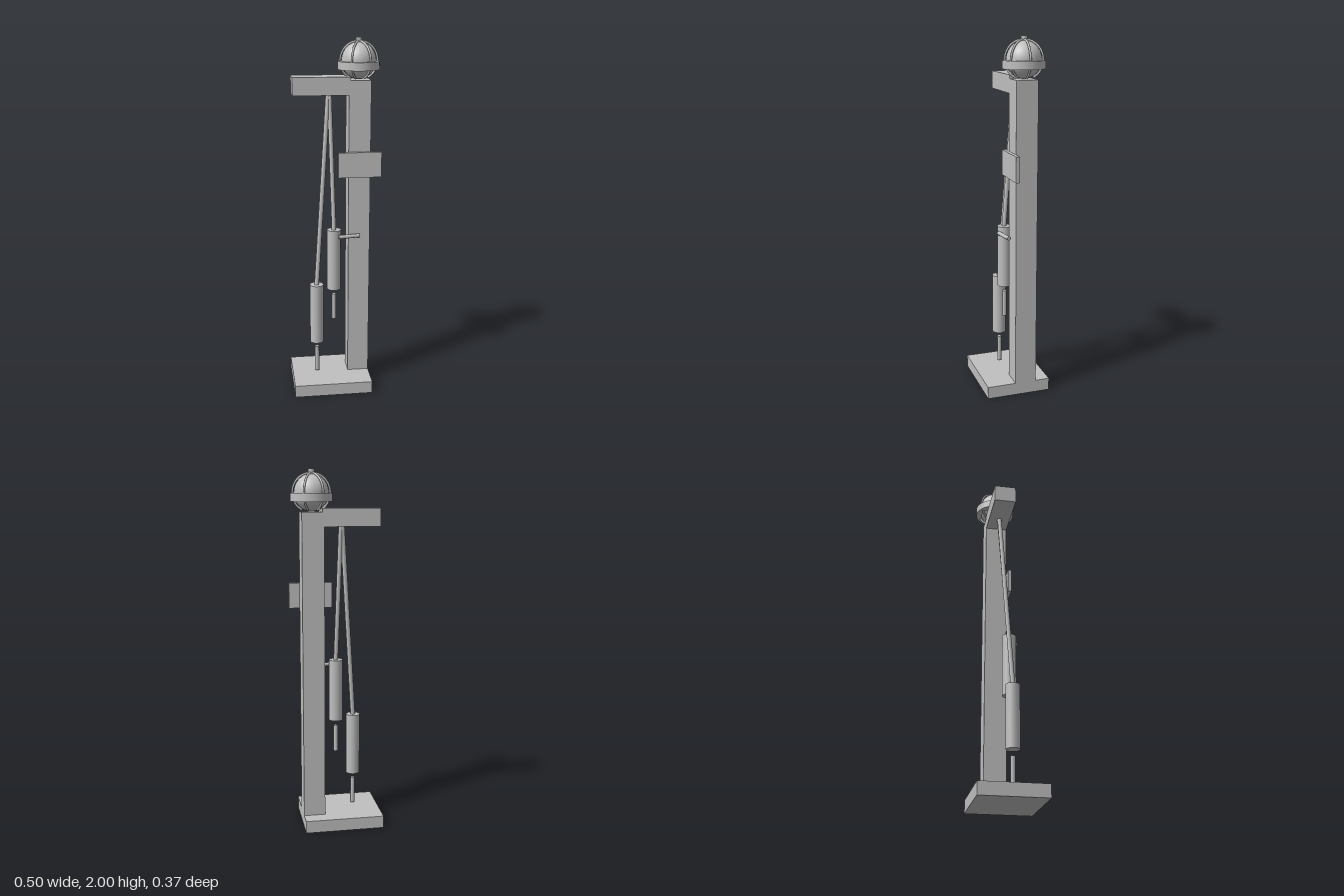
import * as THREE from 'three';

export function createModel() {
  const model = new THREE.Group();
  model.name = 'pendulumStand';
  const grey = new THREE.MeshStandardMaterial({ color: 0xc0c0c0 });
  grey.name = 'plain grey';

  const add = (name, geometry, parent = model) => {
    const mesh = new THREE.Mesh(geometry, grey);
    mesh.name = name;
    parent.add(mesh);
    return mesh;
  };
  // Box given by its lower and upper corners
  const box = (name, [x0, y0, z0], [x1, y1, z1]) => {
    const mesh = add(name, new THREE.BoxGeometry(x1 - x0, y1 - y0, z1 - z0));
    mesh.position.set((x0 + x1) / 2, (y0 + y1) / 2, (z0 + z1) / 2);
  };
  // Cylinder running between two points
  const rod = (name, from, to, radius, sides = 16, parent = model) => {
    const a = new THREE.Vector3(...from), b = new THREE.Vector3(...to);
    const dir = b.clone().sub(a);
    const mesh = add(name, new THREE.CylinderGeometry(radius, radius, dir.length(), sides), parent);
    mesh.position.copy(a).add(b).multiplyScalar(0.5);
    mesh.quaternion.setFromUnitVectors(new THREE.Vector3(0, 1, 0), dir.normalize());
  };

  // Frame
  box('base', [-0.254, 0, -0.183], [0.191, 0.07, 0.183]);
  box('post', [0.07, 0.07, -0.102], [0.191, 1.777, 0.02]);
  box('arm', [-0.235, 1.7, -0.102], [0.08, 1.797, 0.02]);
  box('plaque', [0.01, 1.25, 0.02], [0.25, 1.39, 0.04]);

  // Two hanging weights, each with a rod above and a loose pin below
  const hangers = [
    { top: -0.037, x: -0.112, low: 0.272, pin: 0.085 },
    { top: -0.029, x: -0.012, low: 0.597, pin: 0.41 },
  ];
  for (const { top, x, low, pin } of hangers) {
    rod('hangingRod', [top, 1.7, -0.04], [x, low + 0.35, 0.022], 0.013, 10);
    rod('weight', [x, low, 0.021], [x, low + 0.353, 0.021], 0.039, 20);
    rod('pin', [x, pin, 0.02], [x, pin + 0.153, 0.02], 0.013, 10);
  }
  rod('handle', [0.01, 0.916, 0.06], [0.13, 0.916, 0.04], 0.011, 10);

  // Caged globe on top of the post
  const lamp = new THREE.Group();
  lamp.name = 'cagedGlobe';
  lamp.position.set(0.131, 1.877, -0.042);
  model.add(lamp);
  add('globe', new THREE.SphereGeometry(0.094, 28, 18), lamp).scale.y = 1.05;
  rod('collar', [0, -0.046, 0], [0, -0.002, 0], 0.114, 28, lamp);
  rod('cap', [0, 0.088, 0], [0, 0.123, 0], 0.017, 16, lamp);
  for (let i = 0; i < 6; i++) {
    const points = [];
    for (let k = 0; k <= 10; k++) {
      const t = THREE.MathUtils.degToRad(4 + k * 14.6);
      points.push(new THREE.Vector3(Math.sin(t) * 0.102, Math.cos(t) * 0.104, 0));
    }
    const curve = new THREE.CatmullRomCurve3(points);
    add('rib', new THREE.TubeGeometry(curve, 20, 0.006, 8), lamp).rotation.y = i * Math.PI / 3;
  }
  return model;
}
